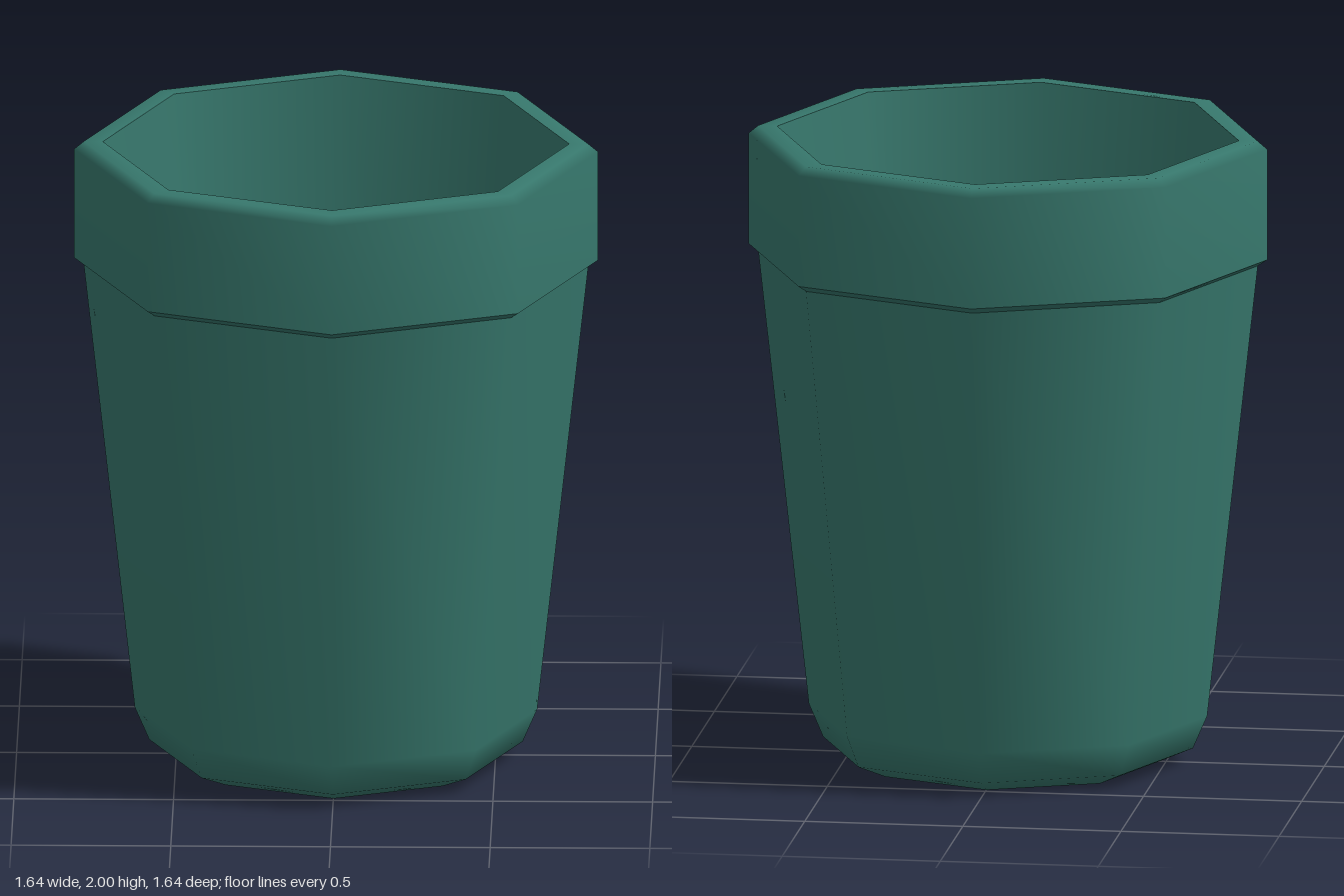
import * as THREE from 'three';

const SIDES = 8;

export function createModel() {
  const model = new THREE.Group();
  model.name = 'cup';
  const green = new THREE.MeshStandardMaterial({ color: 0x37786d });

  // Each run of the profile is smooth; creases fall between the runs.
  const addRing = (name, profile) => {
    const points = profile.map(([r, y]) => new THREE.Vector2(r, y));
    const mesh = new THREE.Mesh(new THREE.LatheGeometry(points, SIDES), green);
    mesh.name = name;
    model.add(mesh);
  };

  // Base with a rounded foot, running up into the tapered wall
  addRing('outerWall', [[0, 0], [0.48, 0], [0.585, 0.045], [0.63, 0.15], [0.79, 1.6]]);

  // Narrow ledge beneath the collar
  addRing('collarUnderside', [[0.79, 1.6], [0.82, 1.62]]);

  // Collar band with a softened lip
  addRing('collar', [[0.82, 1.62], [0.82, 1.975], [0.79, 2], [0.73, 2]]);

  // Hollow inside: tapered wall and floor
  addRing('inside', [[0.73, 2], [0.57, 0.18], [0.52, 0.1], [0.42, 0.07], [0, 0.07]]);

  return model;
}
